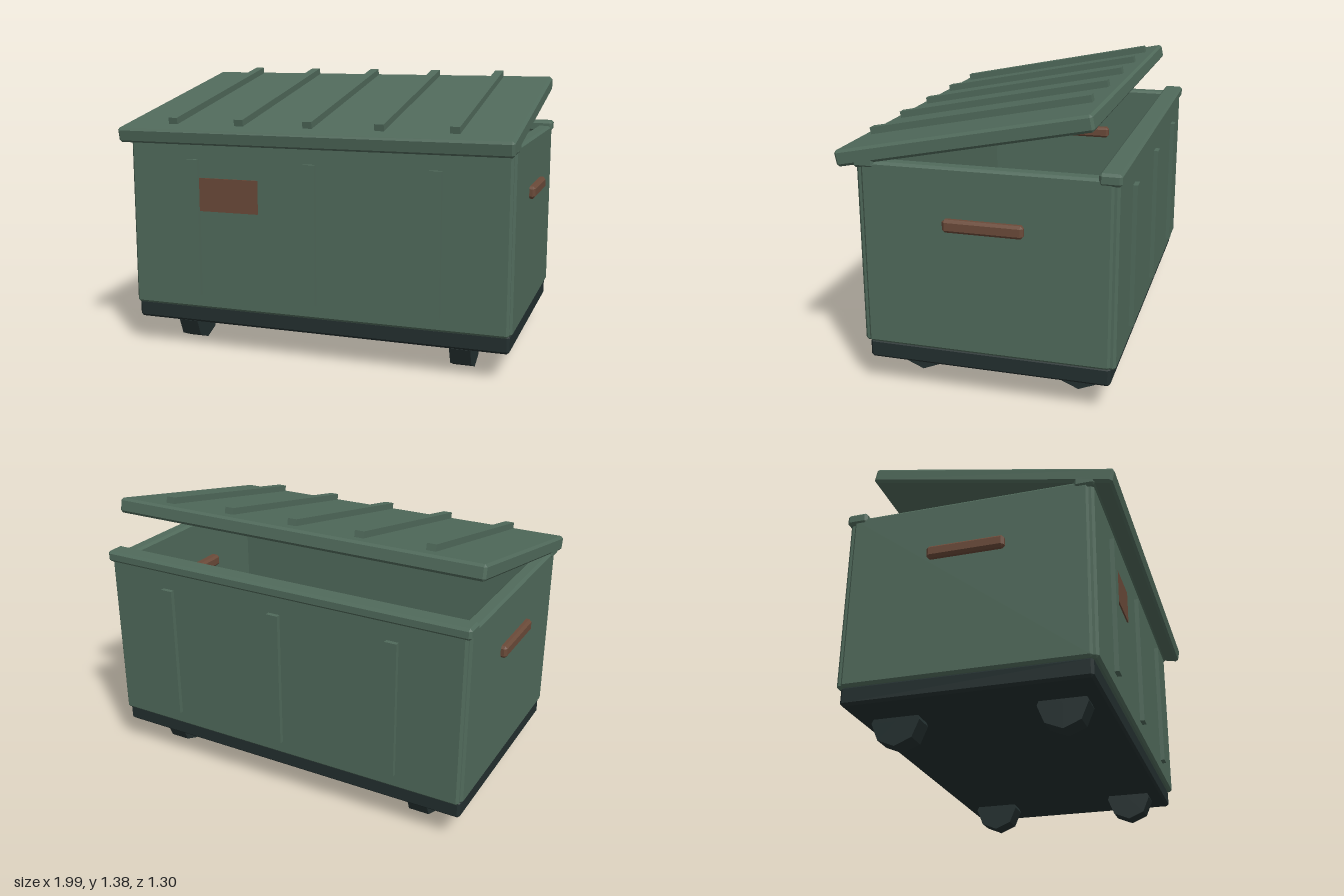
import * as THREE from 'three';
import { ConvexGeometry } from 'three/addons/geometries/ConvexGeometry.js';

const paint = (name, color) => {
  const m = new THREE.MeshStandardMaterial({ color });
  m.name = name;
  return m;
};

// Box with flat chamfers on all edges
function chamferBox(w, h, d, c) {
  const pts = [];
  for (const sx of [-1, 1]) for (const sy of [-1, 1]) for (const sz of [-1, 1]) {
    const x = w / 2, y = h / 2, z = d / 2;
    pts.push(new THREE.Vector3(sx * x, sy * (y - c), sz * (z - c)));
    pts.push(new THREE.Vector3(sx * (x - c), sy * y, sz * (z - c)));
    pts.push(new THREE.Vector3(sx * (x - c), sy * (y - c), sz * z));
  }
  return new ConvexGeometry(pts);
}

export function createModel() {
  const model = new THREE.Group();
  model.name = 'dumpster';
  const green = paint('green steel', 0x506a5b);
  const dark = paint('dark rubber', 0x232f2f);
  const rust = paint('rust brown', 0x6a4a39);

  const add = (name, geometry, material, x, y, z, parent = model) => {
    const mesh = new THREE.Mesh(geometry, material);
    mesh.name = name;
    mesh.position.set(x, y, z);
    parent.add(mesh);
    return mesh;
  };
  const midZ = -0.038; // centre of the bin body

  // Base slab
  add('base', chamferBox(1.914, 0.09, 1.132, 0.012), dark, 0, 0.18, midZ);

  // Wheels: eight-sided, a vertex at the bottom
  const wheel = new THREE.CylinderGeometry(0.115, 0.115, 0.102, 8).rotateZ(Math.PI / 2);
  wheel.deleteAttribute('normal');
  const wheelGeo = wheel.toNonIndexed();
  wheelGeo.computeVertexNormals();
  for (const x of [-0.714, 0.714]) for (const z of [0.347, -0.421])
    add('wheel', wheelGeo, dark, x, 0.115, z);

  // Walls, top rails and upright battens
  const longWall = chamferBox(1.914, 0.87, 0.06, 0.012);
  const endWall = chamferBox(0.07, 0.865, 1.132, 0.012);
  const rail = chamferBox(1.95, 0.056, 0.1, 0.012);
  const batten = new THREE.BoxGeometry(0.06, 0.68, 0.03);
  for (const s of [1, -1]) {
    add(s > 0 ? 'frontWall' : 'backWall', longWall, green, 0, 0.652, midZ + s * 0.559);
    add('topRail', rail, green, 0, 1.082, midZ + s * 0.55);
    add('endWall', endWall, green, s * 0.933, 0.652, midZ);
    add('handle', chamferBox(0.14, 0.06, 0.366, 0.012), rust, s * 0.926, 0.825, -0.037);
    for (const x of [-0.61, 0, 0.61])
      add('batten', batten, green, x, 0.63, midZ + s * 0.596);
  }

  // Rust patch on the front
  add('rustPatch', new THREE.BoxGeometry(0.32, 0.165, 0.008), rust, -0.43, 0.797, 0.554);

  // Tilted lid with ribs
  const lid = new THREE.Group();
  lid.name = 'lid';
  lid.position.set(0, 1.2, 0.065);
  lid.rotation.x = 0.198;
  model.add(lid);
  add('lidPanel', chamferBox(1.95, 0.075, 1.18, 0.012), green, 0, 0, 0, lid);
  const rib = new THREE.BoxGeometry(0.046, 0.032, 1.055);
  for (let i = -2; i <= 2; i++)
    add('lidRib', rib, green, i * 0.35, 0.06, -0.011, lid);

  return model;
}
